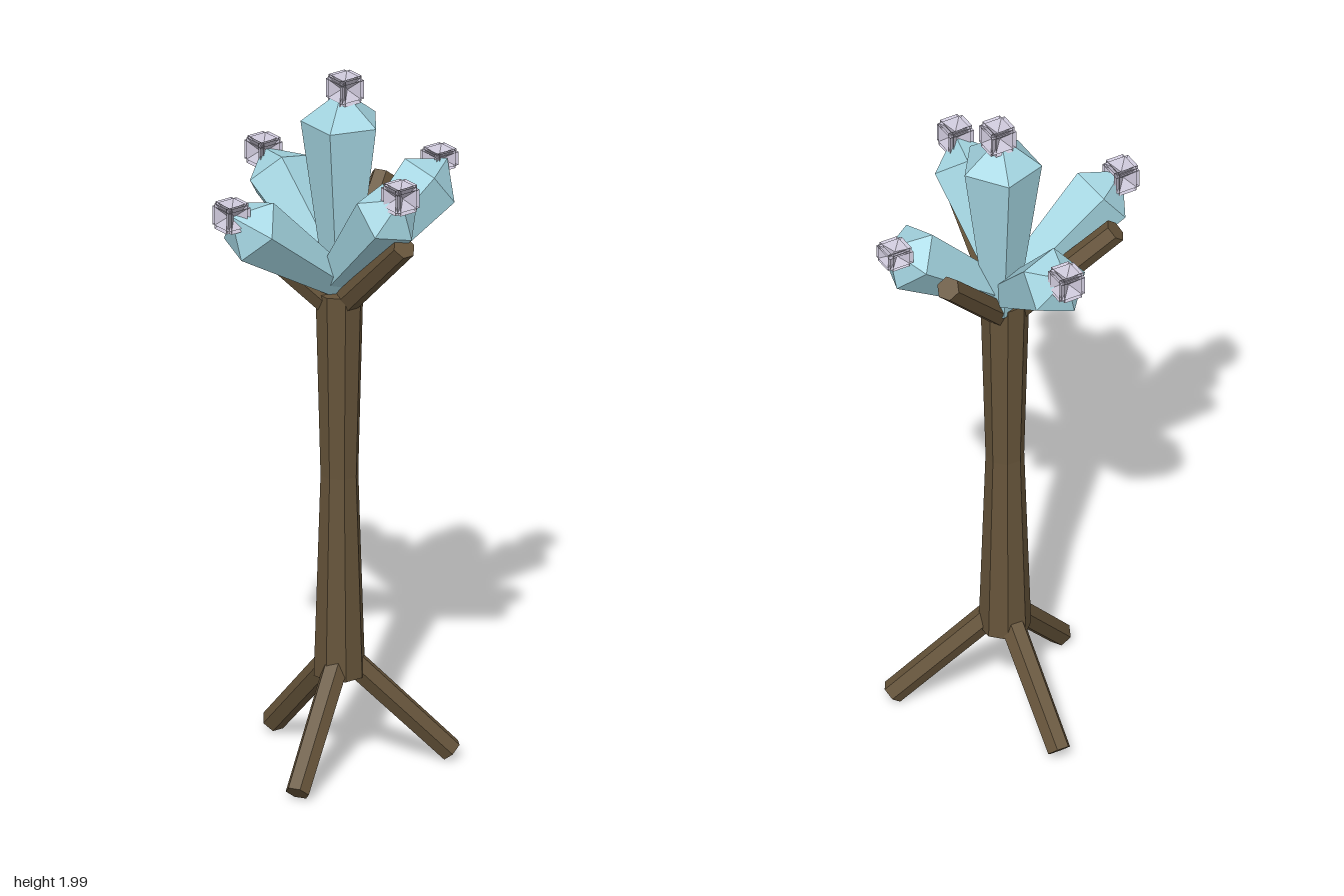
import * as THREE from 'three';

const bark = new THREE.MeshStandardMaterial({ color: 0x66543a, flatShading: true });
bark.name = 'brown bark';
const crystalBlue = new THREE.MeshStandardMaterial({ color: 0xa4d5e1, flatShading: true });
crystalBlue.name = 'pale blue crystal';
const lilac = new THREE.MeshStandardMaterial({ color: 0xcdc8da, flatShading: true });
lilac.name = 'pale lilac';

const UP = new THREE.Vector3(0, 1, 0);
const vec = (p) => new THREE.Vector3(...p);

function addMesh(parent, name, geometry, material) {
  const mesh = new THREE.Mesh(geometry, material);
  mesh.name = name;
  parent.add(mesh);
  return mesh;
}

// Stands a geometry, built upward from y = 0, at a point and aims it along a direction
function aim(mesh, from, direction) {
  mesh.position.copy(from);
  mesh.quaternion.setFromUnitVectors(UP, direction);
}

function addStick(parent, name, start, end) {
  const a = vec(start), b = vec(end);
  const length = a.distanceTo(b);
  const geometry = new THREE.CylinderGeometry(0.034, 0.036, length, 6).translate(0, length / 2, 0);
  aim(addMesh(parent, name, geometry, bark), a, b.sub(a).normalize());
}

// Five-sided crystal, widening to a shoulder and closing in a point
function addCrystal(parent, name, base, shoulder, radius, tip, turn) {
  const a = vec(base), b = vec(shoulder);
  const length = a.distanceTo(b);
  const profile = [[0, 0], [0.045, 0], [radius, length], [0, length + tip]];
  const geometry = new THREE.LatheGeometry(profile.map((p) => new THREE.Vector2(...p)), 5);
  geometry.rotateY(turn);
  aim(addMesh(parent, name, geometry, crystalBlue), a, b.sub(a).normalize());
}

// Box whose six faces are pressed inward to a point
function dentedBox(hx, hy, hz) {
  const half = [hx, hy, hz];
  const positions = [];
  for (let axis = 0; axis < 3; axis++) {
    for (const side of [-1, 1]) {
      const u = (axis + 1) % 3, v = (axis + 2) % 3;
      const ring = [[-1, -1], [1, -1], [1, 1], [-1, 1]].map(([s, t]) => {
        const p = [0, 0, 0];
        p[axis] = side * half[axis];
        p[u] = s * half[u];
        p[v] = t * half[v];
        return p;
      });
      if (side < 0) ring.reverse();
      const centre = [0, 0, 0];
      centre[axis] = side * half[axis] * 0.3;
      ring.forEach((p, i) => positions.push(...p, ...ring[(i + 1) % 4], ...centre));
    }
  }
  const geometry = new THREE.BufferGeometry();
  geometry.setAttribute('position', new THREE.Float32BufferAttribute(positions, 3));
  geometry.computeVertexNormals();
  return geometry;
}

// Spiky bud made of three crossed dented boxes
function addBud(parent, position, height = 1) {
  const bud = new THREE.Group();
  bud.name = 'spikyBud';
  const w = 0.037, n = 0.027;
  for (const size of [[n, w, w], [w, n, w], [w, w, n]]) {
    addMesh(bud, 'budSpikes', dentedBox(...size), lilac);
  }
  bud.position.set(...position);
  bud.scale.y = height;
  parent.add(bud);
}

export function createModel() {
  const model = new THREE.Group();
  model.name = 'crystalTree';

  // Trunk with a slight waist
  const trunkProfile = [[0, 0.265], [0.072, 0.265], [0.053, 0.85], [0.067, 1.385], [0, 1.385]];
  const trunk = new THREE.LatheGeometry(trunkProfile.map((p) => new THREE.Vector2(...p)), 8);
  trunk.rotateY(Math.PI / 8);
  addMesh(model, 'trunk', trunk, bark).position.x = 0.033;

  // Three roots and three branches
  addStick(model, 'root', [0.01, 0.31, 0], [-0.265, 0.03, 0]);
  addStick(model, 'branch', [0.06, 1.36, 0], [0.325, 1.605, 0]);
  for (const s of [-1, 1]) {
    addStick(model, 'root', [0.05, 0.31, s * 0.02], [0.19, 0.026, s * 0.262]);
    addStick(model, 'branch', [0.02, 1.345, s * 0.02], [-0.115, 1.615, s * 0.262]);
  }

  // Crystals: one upright, four leaning outward
  const q = Math.PI / 2;
  addCrystal(model, 'middleCrystal', [0.012, 1.37, -0.025], [0.012, 1.87, -0.025], 0.113, 0.09, Math.PI);
  addCrystal(model, 'rightCrystal', [0.02, 1.41, -0.01], [-0.258, 1.635, -0.01], 0.095, 0.085, 0);
  addCrystal(model, 'leftCrystal', [0.01, 1.41, 0.01], [0.268, 1.685, 0.01], 0.095, 0.085, Math.PI);
  addCrystal(model, 'frontCrystal', [0.025, 1.41, 0], [0.025, 1.635, 0.295], 0.095, 0.085, q);
  addCrystal(model, 'backCrystal', [0.035, 1.41, -0.01], [0.04, 1.635, -0.295], 0.095, 0.085, -q);

  // Buds on the crystal tips
  addBud(model, [0.014, 1.963, -0.033]);
  addBud(model, [-0.323, 1.68, -0.01]);
  addBud(model, [0.317, 1.75, 0.007]);
  addBud(model, [0.014, 1.683, 0.353]);
  addBud(model, [0.014, 1.683, -0.355], 0.7);

  return model;
}
